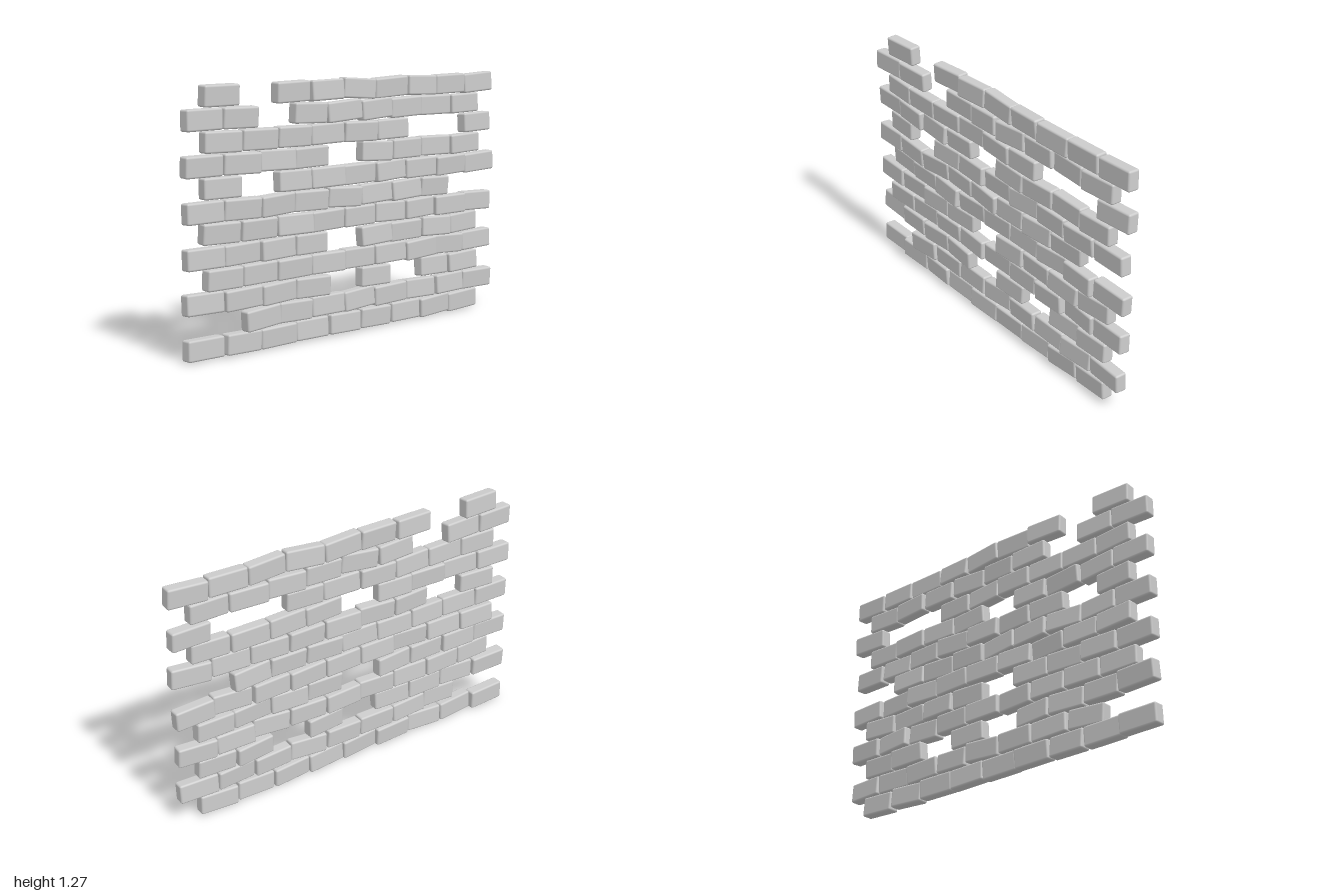
import * as THREE from 'three';
import { RoundedBoxGeometry } from 'three/addons/geometries/RoundedBoxGeometry.js';

const _ = null; // missing brick

// Courses from the ground up, bricks from +z to -z: in-plane tilt in degrees
const COURSES = [
  [-1, -2, 2, -1, -2, -2, -1, 3, 3],
  [_, 4, -2, 0, 3, 3, -2, 0, 0],
  [-1, 2, 2, -1, _, -2, _, -2, 2],
  [-1, 0, 1, 0, -1, 1, 4, -2, 2],
  [0, 1, 1, -1, _, 2, 1, -3, 2],
  [-1, 0, 0, 1, 0, -2, 1, 1, -2],
  [0, -1, 2, -1, -3, 2, 2, -2, _],
  [0, _, -1, 1, 1, 2, 1, 2, 3],
  [0, -1, -1, 1, _, -3, 0, -1, 2],
  [-1, -1, -1, 1, -1, 1, _, _, 1],
  [0, -1, _, -2, 4, 3, 2, 0, 1],
  [0, _, 1, 1, -4, 3, -2, 1, 3],
];

// Sideways offset of the brick seen at the front end of each course
const FRONT_X = [-0.01, 0.02, -0.01, 0.005, 0, -0.018, 0, -0.005, -0.005, 0.003, 0, -0.008];

const PITCH_Z = 0.21;
const PITCH_Y = 0.1054;

// Small seeded generator returning values in -1..1
function makeJitter(seed) {
  let s = seed;
  return () => {
    s = (s * 16807) % 2147483647;
    return (s / 2147483647) * 2 - 1;
  };
}

export function createModel() {
  const wall = new THREE.Group();
  wall.name = 'brickWall';

  const material = new THREE.MeshStandardMaterial({ color: 0xcccccc });
  const brickGeometry = new RoundedBoxGeometry(0.06, 0.1, 0.206, 2, 0.01);
  const jitter = makeJitter(4711);
  const rad = THREE.MathUtils.degToRad;

  COURSES.forEach((tilts, row) => {
    const course = new THREE.Group();
    course.name = `course${row + 1}`;
    course.position.y = 0.065 + row * PITCH_Y;

    // Running bond: every second course shifts by half a brick
    const startZ = row % 2 ? 0.792 : 0.896;
    let first = true;

    tilts.forEach((tilt, i) => {
      const dx = jitter() * 0.01;
      const yaw = jitter() * 4.5;
      const lean = jitter() * 4.5;
      if (tilt === null) return;

      const brick = new THREE.Mesh(brickGeometry, material);
      brick.name = `brick${i + 1}`;
      brick.position.set(first ? FRONT_X[row] : dx, 0, startZ - i * PITCH_Z);
      brick.rotation.set(rad(tilt), rad(yaw), rad(lean));
      course.add(brick);
      first = false;
    });
    wall.add(course);
  });

  return wall;
}
